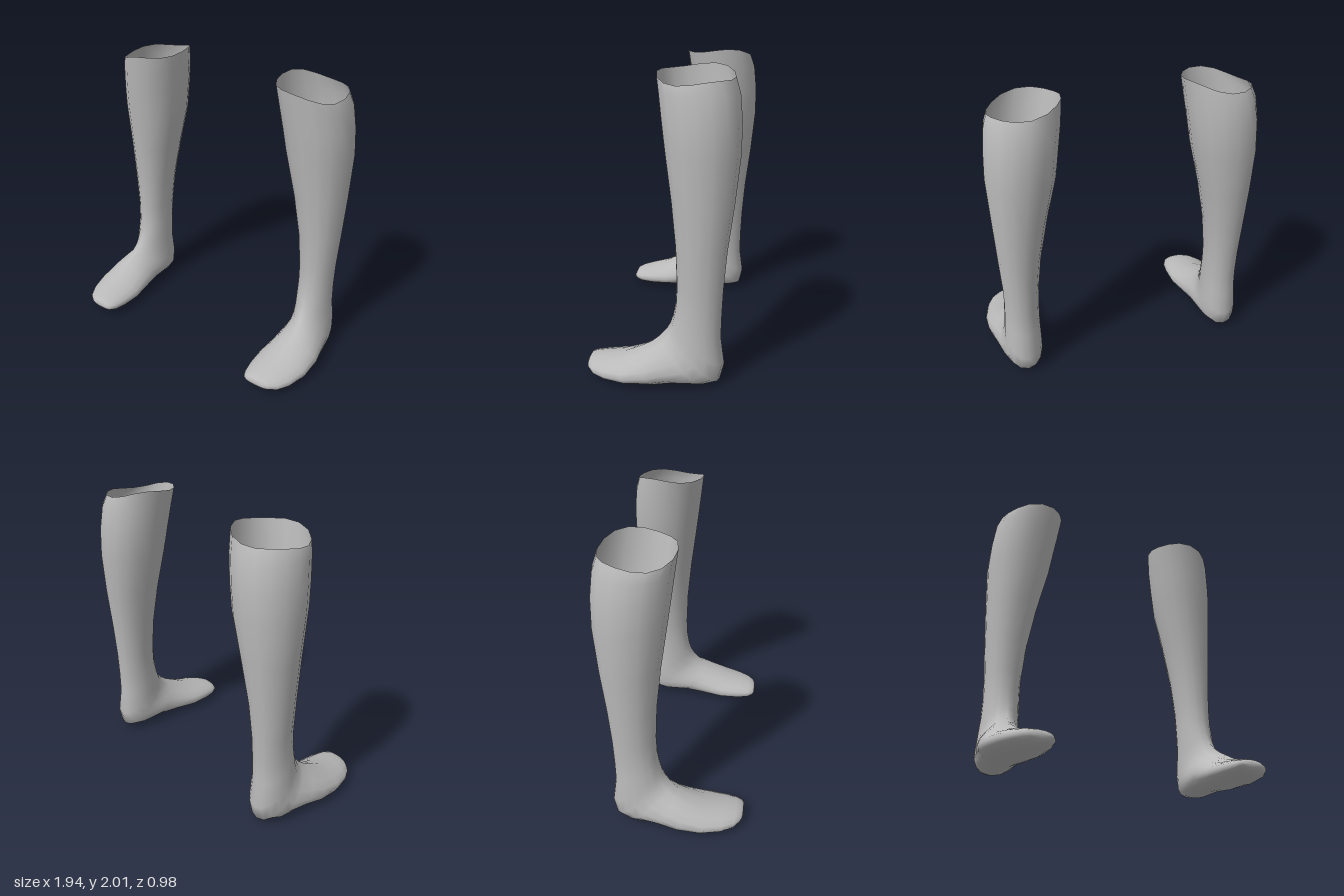
import * as THREE from 'three';

const SEGMENTS = 16;

// Cross-sections from the open top, round the heel, to the toes:
// [front z, front y, back z, back y, inner x, outer x, skew towards back]
const RINGS = [
  [0.035, 1.97, -0.44, 1.97, 0.41, 0.865, 1],
  [0.02, 1.86, -0.47, 1.86, 0.425, 0.893, 1],
  [0.0, 1.7, -0.486, 1.7, 0.45, 0.913, 1],
  [-0.02, 1.55, -0.486, 1.5, 0.475, 0.923, 1],
  [-0.065, 1.22, -0.457, 1.2, 0.55, 0.908, 1],
  [-0.095, 0.93, -0.42, 0.9, 0.605, 0.893, 1],
  [-0.105, 0.68, -0.4, 0.65, 0.633, 0.878, 1],
  [-0.1, 0.55, -0.393, 0.48, 0.638, 0.876, 1],
  [-0.085, 0.46, -0.39, 0.32, 0.638, 0.882, 1],
  [-0.065, 0.4, -0.415, 0.14, 0.636, 0.892, 0.95],
  [-0.04, 0.355, -0.39, 0.03, 0.632, 0.902, 0.85],
  [0.0, 0.31, -0.3, 0.008, 0.628, 0.92, 0.75],
  [0.05, 0.27, -0.11, 0.018, 0.62, 0.948, 0.72],
  [0.12, 0.232, 0.03, 0.006, 0.608, 0.969, 0.7],
  [0.24, 0.172, 0.2, 0.002, 0.585, 0.966, 0.75],
  [0.36, 0.14, 0.34, 0.004, 0.592, 0.93, 0.85],
  [0.44, 0.118, 0.425, 0.012, 0.608, 0.882, 0.95],
  [0.478, 0.104, 0.468, 0.03, 0.63, 0.83, 1],
  [0.488, 0.085, 0.486, 0.05, 0.65, 0.79, 1],
];

// Lofts the sections into one smooth skin; side is +1 (left) or -1 (right)
function legGeometry(side) {
  const positions = [];
  const index = [];
  const triangle = (a, b, c) => (side > 0 ? index.push(a, b, c) : index.push(a, c, b));

  RINGS.forEach(([frontZ, frontY, backZ, backY, inner, outer, skew], r) => {
    for (let j = 0; j < SEGMENTS; j++) {
      const a = (j / SEGMENTS) * Math.PI * 2;
      const s = Math.pow((1 - Math.cos(a)) / 2, skew);
      const across = Math.sign(Math.sin(a)) * Math.pow(Math.abs(Math.sin(a)), 0.92);
      const x = (inner + outer) / 2 + across * (outer - inner) / 2;
      let y = THREE.MathUtils.lerp(frontY, backY, s);
      // Uneven rim: high on the inside, low on the outside
      if (r === 0) y += -0.035 * Math.sin(a) + 0.012 * Math.cos(3 * a) - 0.006;
      positions.push(side * x, y, THREE.MathUtils.lerp(frontZ, backZ, s));
    }
  });

  for (let r = 0; r < RINGS.length - 1; r++) {
    for (let j = 0; j < SEGMENTS; j++) {
      const k = (j + 1) % SEGMENTS;
      const a = r * SEGMENTS + j, b = r * SEGMENTS + k;
      triangle(a, a + SEGMENTS, b + SEGMENTS);
      triangle(a, b + SEGMENTS, b);
    }
  }

  // Close the toe tip
  const last = (RINGS.length - 1) * SEGMENTS;
  const tip = positions.length / 3;
  positions.push(side * 0.72, 0.067, 0.49);
  for (let j = 0; j < SEGMENTS; j++) triangle(last + j, tip, last + (j + 1) % SEGMENTS);

  const geometry = new THREE.BufferGeometry();
  geometry.setAttribute('position', new THREE.Float32BufferAttribute(positions, 3));
  geometry.setIndex(index);
  geometry.computeVertexNormals();
  return geometry;
}

export function createModel() {
  const model = new THREE.Group();
  model.name = 'lowerLegs';
  const grey = new THREE.MeshStandardMaterial({ color: 0xbababa, side: THREE.DoubleSide });
  grey.name = 'grey';

  for (const [name, side] of [['leftLowerLeg', 1], ['rightLowerLeg', -1]]) {
    const leg = new THREE.Mesh(legGeometry(side), grey);
    leg.name = name;
    model.add(leg);
  }
  return model;
}
